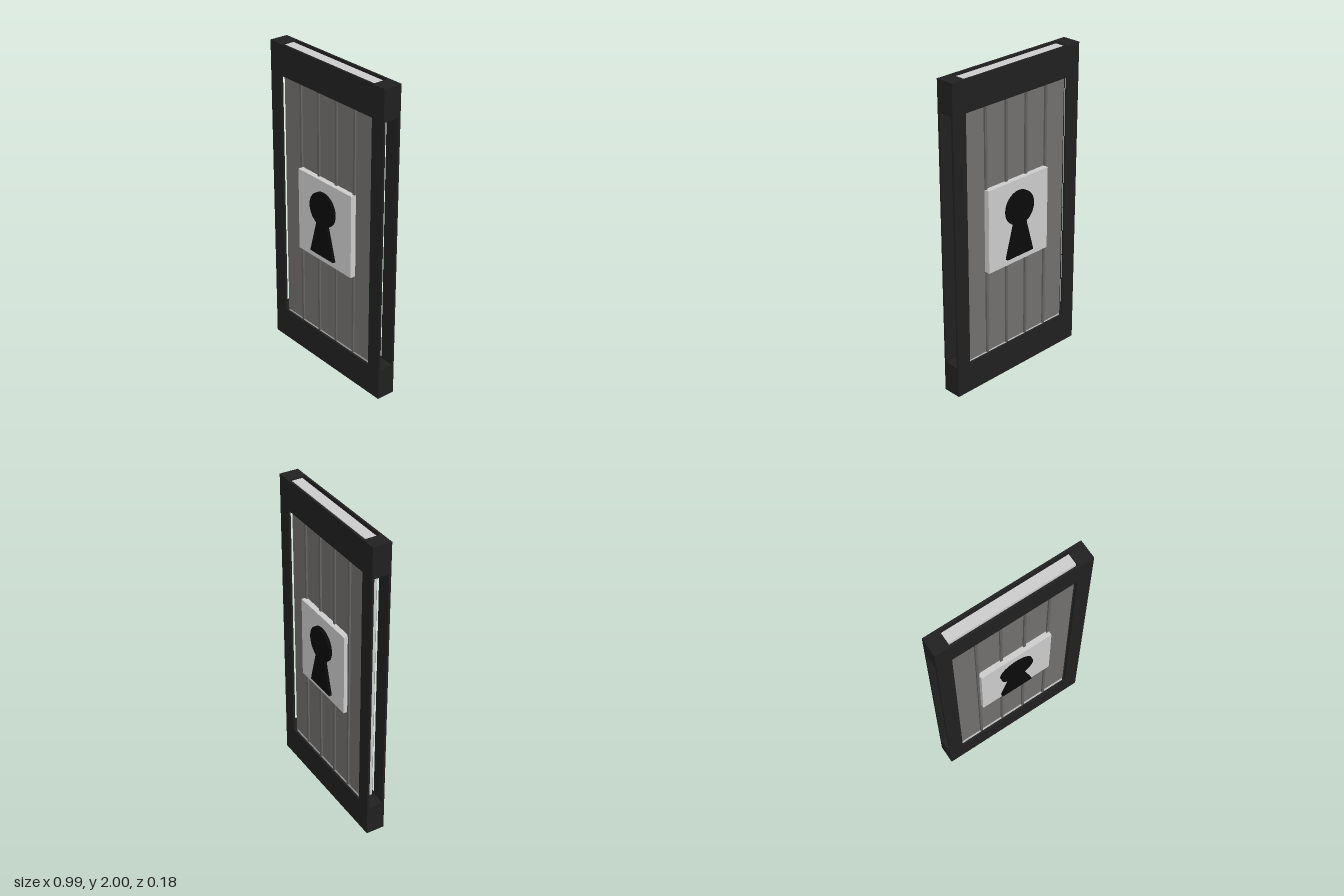
import * as THREE from 'three';

const paint = (color) => new THREE.MeshStandardMaterial({ color });
const grey = paint(0xcccccc);
const frameMat = paint(0x202020);
const plankMat = paint(0x716f6d);
const stripMat = paint(0x656361);
const black = paint(0x0a0a0a);

function add(parent, name, geometry, material, x = 0, y = 0, z = 0) {
  const mesh = new THREE.Mesh(geometry, material);
  mesh.name = name;
  mesh.position.set(x, y, z);
  parent.add(mesh);
  return mesh;
}

const box = (w, h, d) => new THREE.BoxGeometry(w, h, d);

// Flat rectangular sheet with the door opening cut out
function frameSheet(depth) {
  const rect = (Type, x, y0, y1) => {
    const p = new Type();
    p.moveTo(-x, y0);
    p.lineTo(x, y0);
    p.lineTo(x, y1);
    p.lineTo(-x, y1);
    p.closePath();
    return p;
  };
  const shape = rect(THREE.Shape, 0.497, 0, 2);
  shape.holes.push(rect(THREE.Path, 0.4, 0.2, 1.805));
  return new THREE.ExtrudeGeometry(shape, { depth, bevelEnabled: false });
}

// Keyhole: a round head over a flared skirt
function keyholeGeometry(depth) {
  const cy = 0.11, r = 0.11, halfNeck = 0.048;
  const a = Math.asin(halfNeck / r);
  const shape = new THREE.Shape();
  shape.moveTo(-0.107, -0.2);
  shape.lineTo(0.107, -0.2);
  shape.lineTo(halfNeck, cy - r * Math.cos(a));
  shape.absarc(0, cy, r, -Math.PI / 2 + a, Math.PI * 1.5 - a, false);
  shape.closePath();
  return new THREE.ExtrudeGeometry(shape, { depth, bevelEnabled: false, curveSegments: 32 });
}

export function createModel() {
  const door = new THREE.Group();
  door.name = 'door';

  // Solid core slab, visible through the slots in the frame edges
  add(door, 'core', box(0.8, 1.98, 0.068), grey, 0, 1, 0);

  // Corner blocks joining the front and back frame sheets
  for (const x of [-0.4485, 0.4485]) {
    for (const y of [0.1, 1.9025]) {
      add(door, 'cornerBlock', box(0.097, y < 1 ? 0.2 : 0.195, 0.1), frameMat, x, y, 0);
    }
  }

  // Each side carries the frame, plank face, strips, lock plate and keyhole
  const sheet = frameSheet(0.013);
  const keyhole = keyholeGeometry(0.02);
  for (const side of [1, -1]) {
    const face = new THREE.Group();
    face.name = side > 0 ? 'frontFace' : 'backFace';
    if (side < 0) face.rotation.y = Math.PI;
    door.add(face);

    add(face, 'frame', sheet, frameMat, 0, 0, 0.047);
    add(face, 'planks', box(0.8, 1.605, 0.002), plankMat, 0, 1.0025, 0.0345);
    for (const x of [-0.242, -0.081, 0.077, 0.238]) {
      add(face, 'plankStrip', box(0.016, 1.605, 0.011), stripMat, x * side, 1.0025, 0.041);
    }
    const lift = side > 0 ? 0 : 0.02;
    add(face, 'lockPlate', box(0.483, 0.535, 0.036), grey, 0.005 * side, 1.002 + lift, 0.053);
    add(face, 'keyhole', keyhole, black, side > 0 ? 0 : -0.006, 0.98 + lift, 0.07);
  }
  return door;
}
